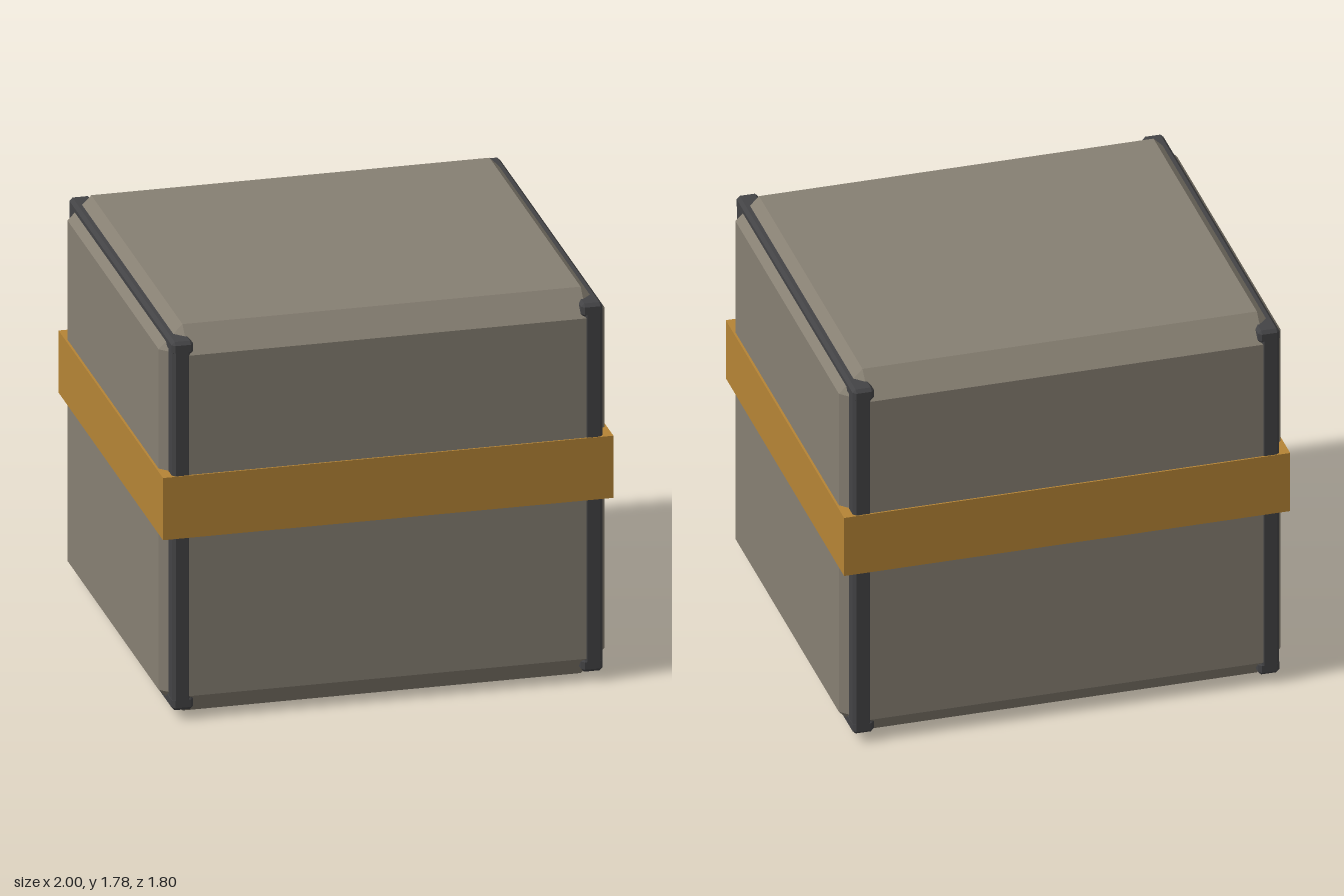
import * as THREE from 'three';
import { ConvexGeometry } from 'three/addons/geometries/ConvexGeometry.js';

const material = (name, color) => {
  const m = new THREE.MeshStandardMaterial({ color });
  m.name = name;
  return m;
};

// Box with every edge bevelled by c: three inset corner points per corner
function chamferBox(w, h, d, c) {
  const points = [];
  for (const sx of [-1, 1]) for (const sy of [-1, 1]) for (const sz of [-1, 1]) {
    const x = w / 2, y = h / 2, z = d / 2;
    points.push(
      new THREE.Vector3(sx * x, sy * (y - c), sz * (z - c)),
      new THREE.Vector3(sx * (x - c), sy * y, sz * (z - c)),
      new THREE.Vector3(sx * (x - c), sy * (y - c), sz * z)
    );
  }
  return new ConvexGeometry(points);
}

export function createModel() {
  const model = new THREE.Group();
  model.name = 'crate';
  const shell = material('warm grey shell', 0x867f72);
  const metal = material('dark frame', 0x434345);
  const amber = material('amber band', 0xb58435);

  const add = (name, geometry, mat, x, y, z, parent = model) => {
    const mesh = new THREE.Mesh(geometry, mat);
    mesh.name = name;
    mesh.position.set(x, y, z);
    parent.add(mesh);
  };

  // Bevelled body
  add('body', chamferBox(1.98, 1.784, 1.782, 0.106), shell, 0, 0.892, 0);

  // Rectangular frame around each side
  const post = chamferBox(0.085, 1.69, 0.083, 0.014);
  const rail = chamferBox(0.096, 0.062, 1.788, 0.014);
  for (const side of [-1, 1]) {
    const frame = new THREE.Group();
    frame.name = side > 0 ? 'leftFrame' : 'rightFrame';
    for (const end of [-1, 1]) {
      add(end > 0 ? 'frontPost' : 'backPost', post, metal, side * 0.9135, 0.893, end * 0.8525, frame);
      add(end > 0 ? 'topRail' : 'bottomRail', rail, metal, side * 0.909, 0.893 + end * 0.819, 0, frame);
    }
    model.add(frame);
  }

  // Band around the middle
  add('band', new THREE.BoxGeometry(2, 0.287, 1.797), amber, 0, 0.984, 0);

  return model;
}
